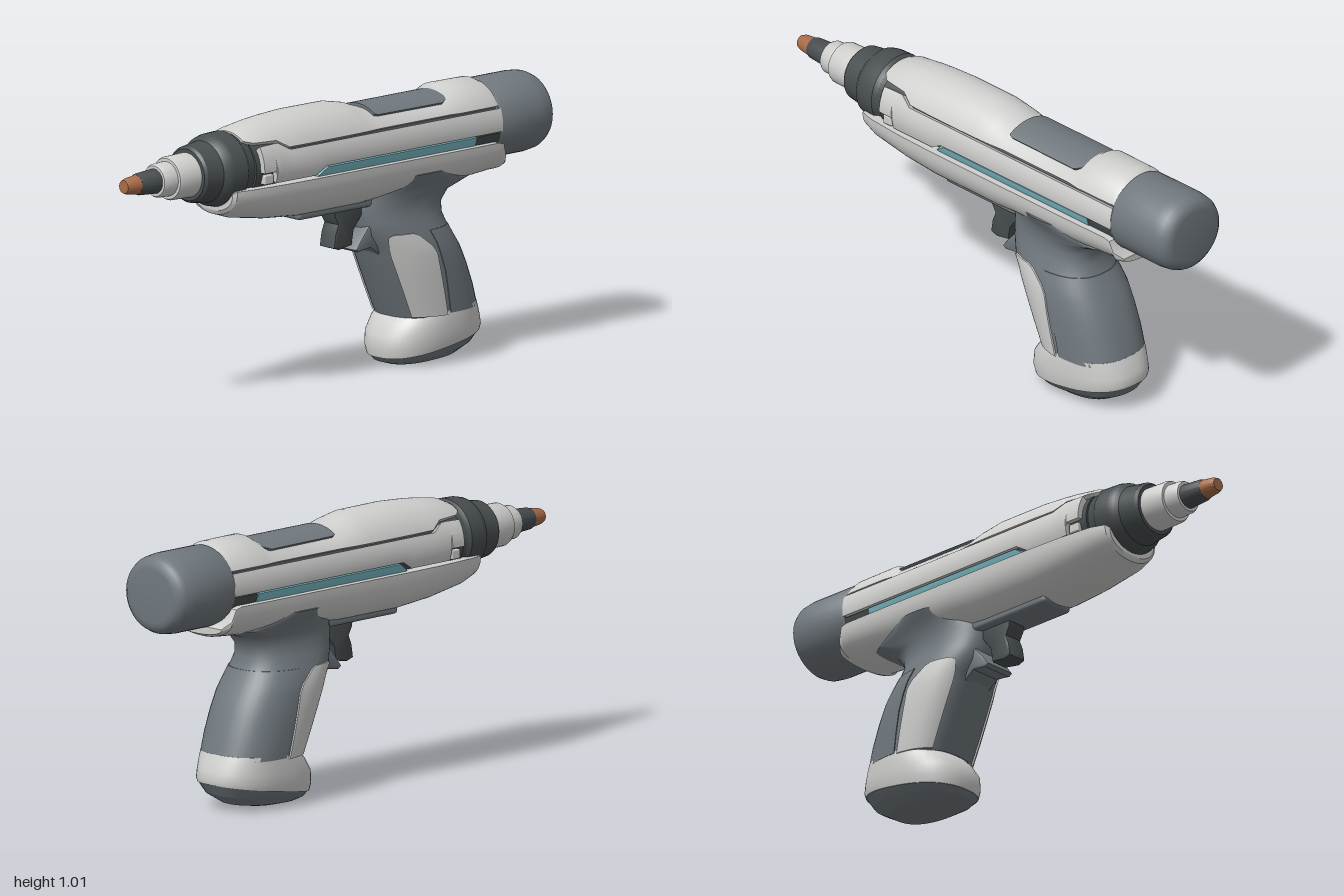
import * as THREE from 'three';
import { toCreasedNormals } from 'three/addons/utils/BufferGeometryUtils.js';
import { RoundedBoxGeometry } from 'three/addons/geometries/RoundedBoxGeometry.js';

const mat = (name, color) => Object.assign(new THREE.MeshStandardMaterial({ color }), { name });
const AXIS = 0.843; // height of the barrel axis

// Closed solid through a series of equal-length rings, outward facing, creased at hard edges
function loft(rings, crease = 0.6) {
  const m = rings[0].length, n = rings.length, p = rings.flat(), idx = [];
  for (let i = 0; i < n - 1; i++) for (let j = 0; j < m; j++) {
    const a = i * m + j, b = i * m + (j + 1) % m;
    idx.push(a, b, b + m, a, b + m, a + m);
  }
  for (let i = 0; i < m / 2 - 1; i++) {
    const q = [i, i + 1, m - 2 - i, m - 1 - i], e = (n - 1) * m;
    idx.push(q[2], q[1], q[0], q[3], q[2], q[0]);
    idx.push(e + q[0], e + q[1], e + q[2], e + q[0], e + q[2], e + q[3]);
  }
  let volume = 0;
  const v = p.map((c) => new THREE.Vector3(...c));
  for (let k = 0; k < idx.length; k += 3)
    volume += v[idx[k]].dot(v[idx[k + 1]].clone().cross(v[idx[k + 2]]));
  if (volume < 0) idx.reverse();
  const g = new THREE.BufferGeometry().setFromPoints(v);
  g.setIndex(idx);
  return toCreasedNormals(g, crease);
}

// Turned part along x from [x, radius] pairs, optionally flattened in y
const turned = (profile, flat = 1, sides = 40) => loft(profile.map(([x, r]) =>
  Array.from({ length: sides }, (_, i) => {
    const a = (i / sides) * Math.PI * 2;
    return [x, AXIS + r * flat * Math.cos(a), r * Math.sin(a)];
  })));

// Thick arc of the barrel at x, between angles measured from the top towards +z
function arc(x, a0, a1, ry, rz, inner = 0.8, n = 18) {
  const out = [], inn = [];
  for (let i = 0; i <= n; i++) {
    const a = a0 + (a1 - a0) * i / n, y = ry * Math.cos(a), z = rz * Math.sin(a);
    out.push([x, AXIS + y, z]);
    inn.unshift([x, AXIS + y * inner, z * inner]);
  }
  return [...out, ...inn];
}
const angleAt = (y, ry) => Math.acos(THREE.MathUtils.clamp((y - AXIS) / ry, -1, 1));
// Side panel from [x, bottom y, top y] stations
const sidePanel = (stations, ry, rz, side) => loft(stations.map(([x, yb, yt]) =>
  arc(x, side * angleAt(yt, ry), side * angleAt(yb, ry), ry, rz, 0.82, 8)));

// Handle profile: y, front x, back x, half width
const HANDLE = [
  [0.72, 0.2, 0.52, 0.163], [0.69, 0.17, 0.61, 0.148], [0.665, 0.14, 0.67, 0.132],
  [0.63, 0.13, 0.56, 0.12], [0.59, 0.13, 0.525, 0.118], [0.55, 0.135, 0.52, 0.127],
  [0.5, 0.15, 0.54, 0.143], [0.46, 0.18, 0.562, 0.153], [0.42, 0.195, 0.588, 0.158],
  [0.35, 0.225, 0.62, 0.16], [0.27, 0.26, 0.65, 0.16], [0.18, 0.3, 0.675, 0.157],
];
function handleAt(y) {
  const i = Math.max(1, HANDLE.findIndex((h) => h[0] <= y)), a = HANDLE[i - 1], b = HANDLE[i];
  const t = (a[0] - y) / (a[0] - b[0]);
  return a.map((c, k) => c + (b[k] - c) * t);
}
// Point on a rounded-rectangle section, angle 0 at the back; tilt raises the back
function sectionPoint([y, x0, x1, hz], a, grow = 0, tilt = 0) {
  const f = (c) => Math.sign(c) * Math.abs(c) ** 0.82;
  const x = (x0 + x1) / 2 + ((x1 - x0) / 2 + grow) * f(Math.cos(a));
  return [x, y + tilt * (x - 0.47), (hz + grow) * f(Math.sin(a))];
}
const section = (s, tilt = 0) => Array.from({ length: 48 }, (_, i) =>
  sectionPoint(s, (i / 48) * Math.PI * 2, 0, tilt));
// Raised panel on the handle from [y, start angle, end angle] stations
const handlePanel = (stations, grow, side = 1) => loft(stations.map(([y, a0, a1]) => {
  const h = handleAt(y), out = [], inn = [];
  for (let i = 0; i <= 20; i++) {
    const a = side * (a0 + (a1 - a0) * i / 20);
    out.push(sectionPoint(h, a, grow));
    inn.unshift(sectionPoint(h, a, -0.012));
  }
  return [...out, ...inn];
}));

// Flat profile extruded evenly about z = 0
function slab(points, width) {
  const bevel = 0.008;
  const shape = new THREE.Shape(points.map((p) => new THREE.Vector2(...p)));
  const g = new THREE.ExtrudeGeometry(shape, {
    depth: width - 2 * bevel, bevelSize: bevel, bevelThickness: bevel, bevelSegments: 2, bevelOffset: -bevel,
  });
  return toCreasedNormals(g.translate(0, 0, bevel - width / 2), 0.6);
}

export function createModel() {
  const white = mat('light shell', 0xcfcfce), grey = mat('grey grip', 0x70787e);
  const dark = mat('dark rubber', 0x484e50), cyan = mat('cyan strip', 0x7dbec8);
  const copper = mat('copper tip', 0xa96c48);
  const model = new THREE.Group();
  const add = (name, geometry, material) => {
    const mesh = new THREE.Mesh(geometry, material);
    mesh.name = name;
    model.add(mesh);
    return mesh;
  };

  // Nozzle, collar, core and rear cap
  add('nozzleTip', turned([[-1, 0.024], [-0.985, 0.03], [-0.935, 0.036]]), copper);
  add('nozzleNeck', turned([[-0.94, 0.036], [-0.93, 0.04], [-0.84, 0.046]]), dark);
  add('nozzleStep', turned([[-0.85, 0.056], [-0.84, 0.062], [-0.78, 0.064]]), white);
  add('nozzleSleeve', turned([[-0.79, 0.075], [-0.78, 0.08], [-0.68, 0.082]]), white);
  add('collar', turned([[-0.69, 0.095], [-0.68, 0.104], [-0.61, 0.113], [-0.595, 0.128],
    [-0.57, 0.134], [-0.51, 0.136], [-0.495, 0.126], [-0.43, 0.126]]), dark);
  add('core', turned([[-0.47, 0.135], [0.74, 0.135]], 0.93), dark);
  add('rearCap', turned([[0.72, 0.152], [0.73, 0.157], [0.92, 0.157], [0.965, 0.151],
    [0.985, 0.14], [0.997, 0.124], [1, 0.105]], 0.95), grey);

  // Upper shell: x, top y, lower edge y, half width
  add('upperShell', loft([
    [-0.49, 0.975, 0.95, 0.14], [-0.46, 0.988, 0.942, 0.146], [-0.36, 1.003, 0.94, 0.15],
    [-0.31, 1.008, 0.912, 0.152], [-0.2, 1.015, 0.912, 0.154], [0, 1.014, 0.912, 0.154],
    [0.08, 0.998, 0.912, 0.154], [0.15, 0.973, 0.912, 0.155], [0.49, 0.972, 0.912, 0.155],
    [0.54, 1.004, 0.912, 0.153], [0.7, 1.002, 0.912, 0.152], [0.725, 0.99, 0.912, 0.15],
  ].map(([x, top, edge, rz]) => {
    const ry = top - AXIS, a = angleAt(edge, ry);
    return arc(x, -a, a, ry, rz, 0.82, 28);
  })), white);
  add('topPanel', loft([[0.15, 0.092], [0.165, 0.098], [0.48, 0.1], [0.505, 0.088], [0.52, 0.06]]
    .map(([x, z]) => arc(x, -Math.asin(z / 0.16), Math.asin(z / 0.16), 0.142, 0.16, 0.85))), grey);

  // Lower shell: x, top y, bottom y, half width
  add('lowerShell', loft([
    [-0.57, 0.77, 0.695, 0.115], [-0.56, 0.78, 0.68, 0.13], [-0.5, 0.782, 0.66, 0.148],
    [-0.35, 0.782, 0.635, 0.16], [-0.2, 0.782, 0.622, 0.164], [0.1, 0.782, 0.622, 0.165],
    [0.2, 0.782, 0.63, 0.165], [0.5, 0.782, 0.635, 0.165], [0.7, 0.782, 0.652, 0.163],
    [0.725, 0.775, 0.655, 0.162], [0.74, 0.73, 0.66, 0.155], [0.765, 0.702, 0.672, 0.125],
  ].map(([x, top, bottom, rz]) => Array.from({ length: 30 }, (_, i) => {
    const a = (i / 29 - 0.5) * Math.PI;
    return [x, top - (top - bottom) * Math.cos(a) ** 0.85, rz * Math.sin(a)];
  }))), white);

  // Panels, light strips and latches on both sides
  for (const side of [1, -1]) {
    add('sidePanel', sidePanel([[-0.45, 0.835, 0.93], [-0.39, 0.835, 0.932], [-0.385, 0.79, 0.932],
      [-0.36, 0.79, 0.932], [-0.31, 0.79, 0.904], [-0.19, 0.79, 0.904], [-0.14, 0.82, 0.904],
      [0.725, 0.82, 0.904]], 0.155, 0.156, side), white);
    add('lightStrip', sidePanel([[-0.17, 0.77, 0.786], [-0.13, 0.77, 0.814], [0.6, 0.77, 0.814]],
      0.15, 0.153, side), cyan);
    add('stripEnd', sidePanel([[0.6, 0.77, 0.814], [0.725, 0.77, 0.814]], 0.148, 0.15, side), dark);
    add('latch', new RoundedBoxGeometry(0.045, 0.036, 0.03, 2, 0.006), white)
      .position.set(-0.418, 0.808, side * 0.132);
    // Light strip of shell down each side of the grip
    add('gripSide', handlePanel([[0.505, 1.75, 2.2], [0.495, 1.66, 2.35], [0.45, 1.57, 2.5],
      [0.42, 1.56, 2.52], [0.35, 1.6, 2.52], [0.27, 1.65, 2.52], [0.185, 1.7, 2.52]], 0.006, side), white);
  }

  // Handle, rear grip pad and trigger area
  add('handle', loft(HANDLE.map((h) => section(h)), 0.8), grey);
  add('rearGripPad', handlePanel([[0.505, -1.45, 1.45], [0.46, -1.47, 1.47], [0.42, -1.5, 1.5],
    [0.35, -1.53, 1.53], [0.27, -1.58, 1.58], [0.19, -1.63, 1.63]], 0.003), grey);
  add('underPlate', new RoundedBoxGeometry(0.4, 0.05, 0.14, 3, 0.014), grey).position.set(0, 0.636, 0);
  add('trigger', slab([[0, 0.63], [0.005, 0.59], [0.022, 0.56], [0.008, 0.525], [0, 0.475],
    [0.03, 0.465], [0.09, 0.475], [0.1, 0.53], [0.14, 0.58], [0.14, 0.63]], 0.08), dark);
  add('fingerLip', slab([[0.15, 0.54], [0.115, 0.5], [0.085, 0.46], [0.1, 0.45], [0.16, 0.458],
    [0.21, 0.42], [0.27, 0.42], [0.25, 0.54]], 0.13), grey);

  // Foot of the handle with its tilted sole
  add('foot', loft([section([0.2, 0.315, 0.67, 0.158], 0.05), section([0.17, 0.283, 0.682, 0.16], 0.06),
    section([0.13, 0.25, 0.695, 0.16], 0.08), section([0.09, 0.245, 0.702, 0.158], 0.12),
    section([0.066, 0.252, 0.698, 0.152], 0.16)]), white);
  add('sole', loft([section([0.068, 0.254, 0.696, 0.15], 0.16), section([0.036, 0.272, 0.668, 0.126], 0.12),
    section([0.012, 0.3, 0.6, 0.095], 0.05), section([0.004, 0.33, 0.53, 0.07], 0.02)], 0.3), grey);
  return model;
}
